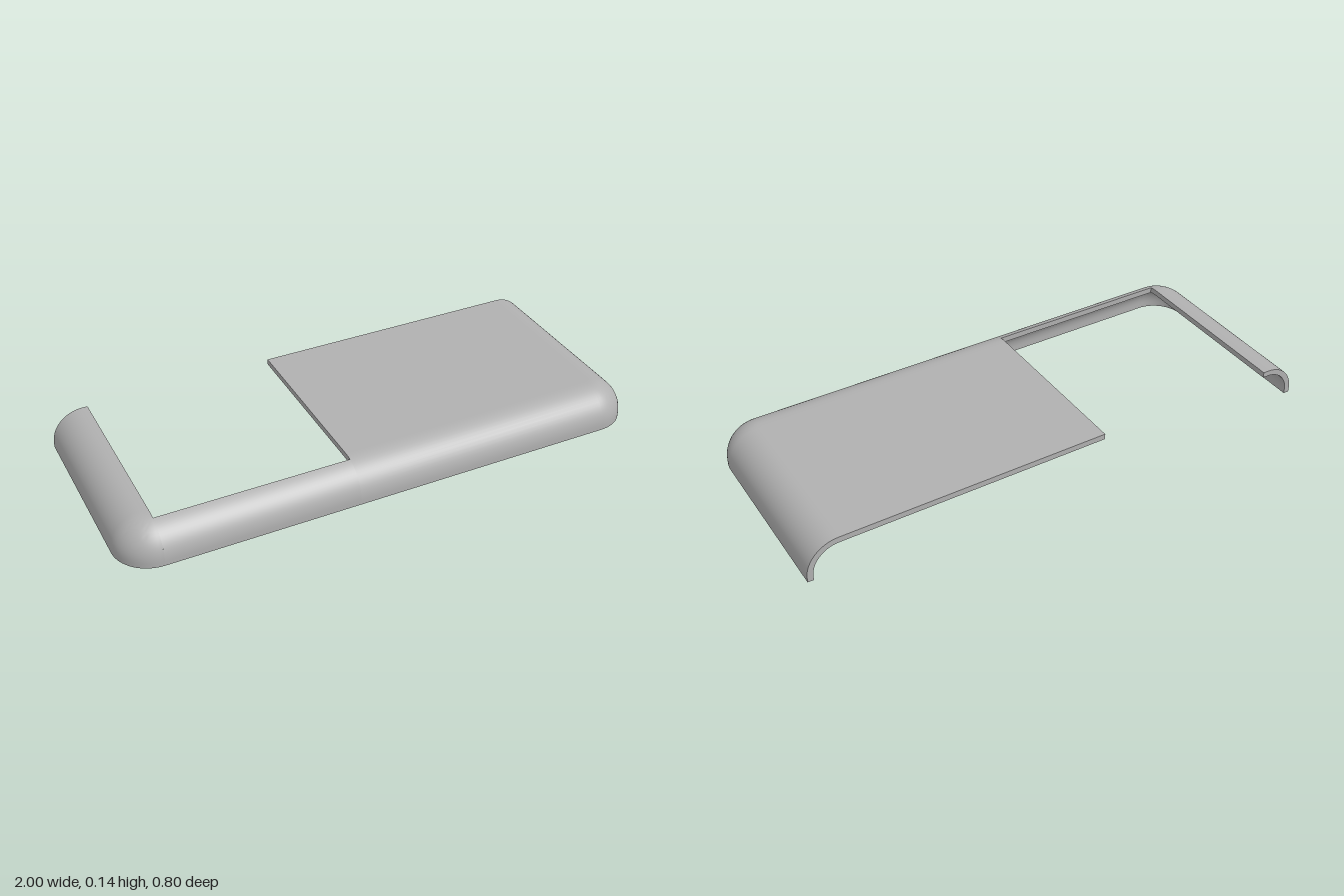
import * as THREE from 'three';
import { toCreasedNormals } from 'three/addons/utils/BufferGeometryUtils.js';

const H = 0.138, WALL = 0.022, R = 0.12;    // height, wall thickness, edge rounding
const CORNER = 0.14;                        // plan radius of the corners
const FRONT = 0.4, BACK = -0.4, SIDE = 1;
const GAP = -0.145;                         // edge of the plate beside the opening

// One face of the wall section as [inset, height], from the bottom rim up to the cut
function side(r, cut) {
  const pts = [[R - r, 0]];
  const end = Math.acos(Math.max(0, R - cut) / r);
  for (let i = 0; i <= 14; i++) {
    const a = end * i / 14;
    pts.push([R - r * Math.cos(a), H - R + r * Math.sin(a)]);
  }
  if (cut > R) pts.push([cut, H - R + r]);
  return pts;
}

// Path stations [x, z, outward x, outward z] round one front corner
function corner(sign) {
  const list = [];
  for (let i = 0; i <= 16; i++) {
    const a = Math.PI / 2 * (sign < 0 ? i / 16 : 1 - i / 16);
    const nx = sign * Math.cos(a), nz = Math.sin(a);
    list.push([sign * (SIDE - CORNER) + nx * CORNER, FRONT - CORNER + nz * CORNER, nx, nz]);
  }
  return list;
}

// Sweep the wall section along the stations
function sweep(stations, cut, closeEdge, caps) {
  const outer = side(R, cut), inner = side(R - WALL, cut), n = outer.length;
  const loop = [...outer, ...inner.slice().reverse()];
  const at = ([x, z, nx, nz], [u, y]) => new THREE.Vector3(x - nx * u, y, z - nz * u);
  const pos = [];
  const tri = (a, b, c) => {
    const area = b.clone().sub(a).cross(c.clone().sub(a)).length();
    if (area > 1e-9) for (const p of [a, b, c]) pos.push(p.x, p.y, p.z);
  };
  const quad = (a, b, c, d) => { tri(a, b, c); tri(a, c, d); };

  for (let i = 0; i < stations.length - 1; i++) {
    const s = stations[i], t = stations[i + 1];
    for (let j = 0; j < loop.length; j++) {
      if (j === n - 1 && !closeEdge) continue;
      const p = loop[j], q = loop[(j + 1) % loop.length];
      quad(at(s, p), at(t, p), at(t, q), at(s, q));
    }
  }
  const first = stations[0], last = stations[stations.length - 1];
  for (let k = 0; k < n - 1; k++) {
    const ring = [outer[k], outer[k + 1], inner[k + 1], inner[k]];
    if (caps.start) quad(...ring.map(p => at(first, p)));
    if (caps.end) quad(...ring.map(p => at(last, p)).reverse());
  }
  const g = new THREE.BufferGeometry();
  g.setAttribute('position', new THREE.Float32BufferAttribute(pos, 3));
  return toCreasedNormals(g, 0.6);
}

export function createModel() {
  const group = new THREE.Group();
  const grey = new THREE.MeshStandardMaterial({ color: 0xb0b0b0 });
  grey.name = 'grey';
  const add = (name, geometry) => {
    const mesh = new THREE.Mesh(geometry, grey);
    mesh.name = name;
    group.add(mesh);
    return mesh;
  };
  const inX = SIDE - CORNER, inZ = FRONT - CORNER;

  // Narrow arm on the right, with its corner
  add('rightArm', sweep([[-SIDE, BACK, -1, 0], ...corner(-1)], CORNER, true, { start: true, end: true }));

  // Front rail beside the opening
  add('frontRail', sweep([[-inX, FRONT, 0, 1], [GAP, FRONT, 0, 1]], 0.09, true, {}));

  // Rounded rim around the plate
  add('plateRim', sweep([[GAP, FRONT, 0, 1], ...corner(1), [SIDE, BACK, 1, 0]], CORNER, false, { start: true, end: true }));

  // Flat top plate
  const plate = add('topPlate', new THREE.BoxGeometry(inX - GAP, WALL, inZ - BACK));
  plate.position.set((inX + GAP) / 2, H - WALL / 2, (inZ + BACK) / 2);

  // Hollow bosses under the plate
  const top = H - WALL, low = top - 0.037;
  const section = [[0.03, top], [0.03, low], [0.05, low], [0.05, top]].map(p => new THREE.Vector2(...p));
  for (const x of [0.31, 0.71]) {
    const boss = add('boss', toCreasedNormals(new THREE.LatheGeometry(section, 40), 0.6));
    boss.position.x = x;
  }
  return group;
}
